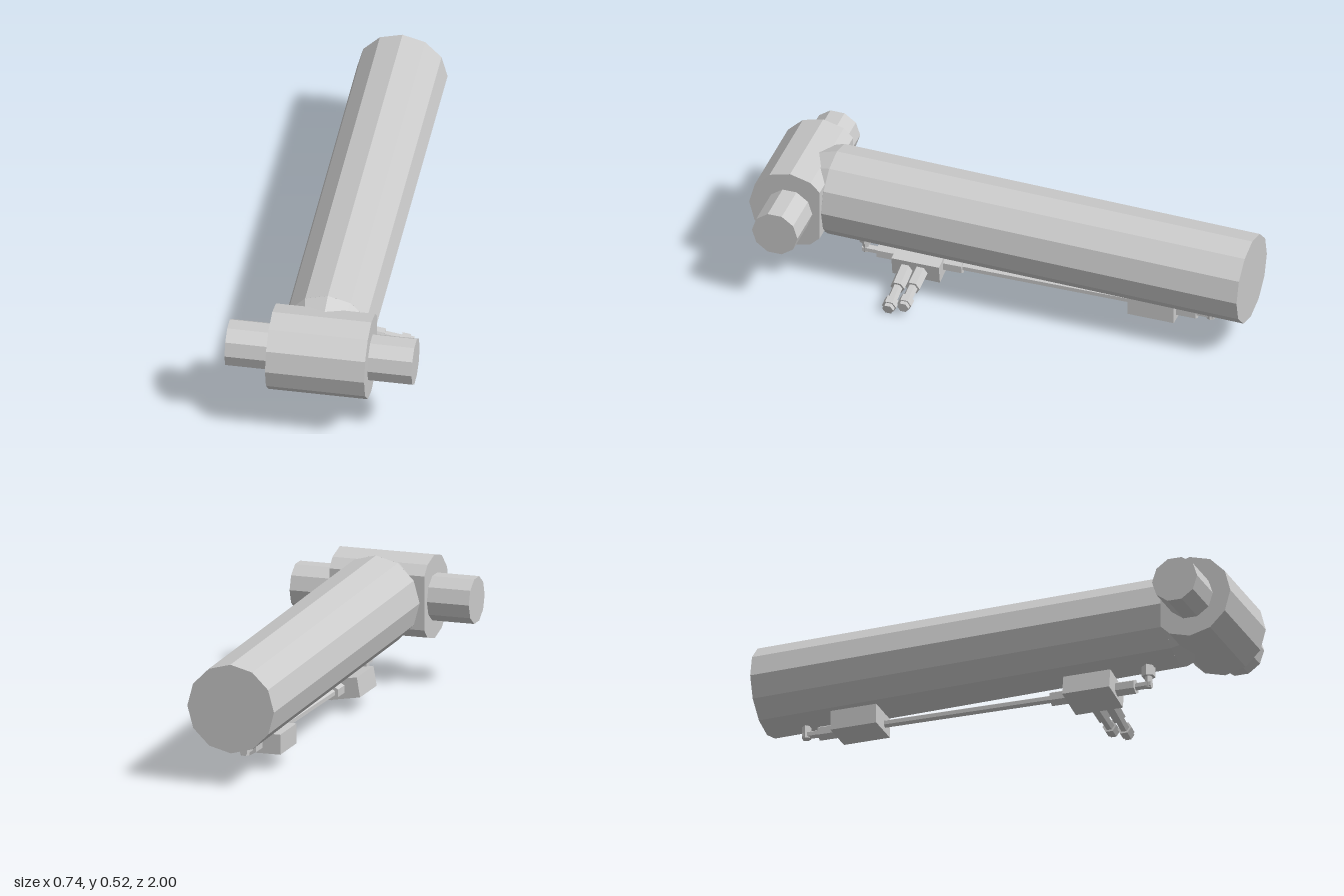
import * as THREE from 'three';

const material = new THREE.MeshStandardMaterial({ color: 0xcccccc, flatShading: true });

export function createModel() {
  const model = new THREE.Group();

  const add = (name, geometry) => {
    const mesh = new THREE.Mesh(geometry, material);
    mesh.name = name;
    model.add(mesh);
    return mesh;
  };

  // Prism or cone between two points; r0 at the start, r1 at the end
  const rod = (name, from, to, r0, sides = 6, r1 = r0, roll = 0) => {
    const a = new THREE.Vector3(...from), b = new THREE.Vector3(...to);
    const dir = b.clone().sub(a);
    const geometry = new THREE.CylinderGeometry(r1, r0, dir.length(), sides);
    geometry.rotateY(roll);
    const mesh = add(name, geometry);
    mesh.position.copy(a).add(b).multiplyScalar(0.5);
    mesh.quaternion.setFromUnitVectors(new THREE.Vector3(0, 1, 0), dir.normalize());
    return mesh;
  };

  // Main barrel, sloping down to the back, with a tapered nose in the hub
  rod('barrel', [0, 0.346, 0.71], [0, 0.318, -0.997], 0.178, 12);
  rod('barrelNose', [0, 0.346, 0.71], [0, 0.348, 0.84], 0.178, 12, 0.135);

  // Cross hub: a twelve-sided drum cut flat at the back
  const R = 0.168, cut = 0.122;
  const profile = [new THREE.Vector2(cut, -0.108)];
  for (let i = -2; i >= -10; i--) {
    const t = (i * Math.PI) / 6;
    profile.push(new THREE.Vector2(R * Math.cos(t), R * Math.sin(t)));
  }
  profile.push(new THREE.Vector2(cut, 0.108));
  const hub = add('hub', new THREE.ExtrudeGeometry(new THREE.Shape(profile), { depth: 0.39, bevelEnabled: false }));
  hub.geometry.rotateY(Math.PI / 2);
  hub.position.set(-0.197, 0.347, 0.832);

  // Trunnion pin through the hub
  rod('trunnionPin', [-0.369, 0.346, 0.834], [0.367, 0.346, 0.834], 0.0935, 10);

  // Hydraulic line under the barrel; its axis rises slightly to the back
  const at = z => [0, 0.101 - 0.011 * z, z];
  rod('line', at(0.6), at(-0.845), 0.016);
  for (const [z0, z1] of [[0.535, 0.45], [0.27, 0.187], [-0.69, -0.775]]) {
    rod('lineCollar', at(z0), at(z1), 0.03);
  }

  // Risers joining the line to the barrel
  rod('frontRiser', [0, 0.082, 0.587], [0, 0.175, 0.587], 0.0145, 6, 0.0145, Math.PI / 6);
  rod('frontRiserCollar', [0, 0.128, 0.587], [0, 0.19, 0.587], 0.027, 6, 0.027, Math.PI / 6);
  rod('rearRiser', [0, 0.095, -0.83], [0, 0.16, -0.83], 0.018, 6, 0.018, Math.PI / 6);

  // Valve blocks
  const frontBlock = add('frontValveBlock', new THREE.BoxGeometry(0.153, 0.08, 0.195));
  frontBlock.position.set(-0.008, 0.097, 0.36);
  frontBlock.rotation.z = -0.165;
  const rearBlock = add('rearValveBlock', new THREE.BoxGeometry(0.15, 0.08, 0.19));
  rearBlock.position.set(-0.023, 0.111, -0.6);

  // Two side ports, each with body, neck, nut and tip
  for (const [z, y0, slope] of [[0.402, 0.08, -0.25], [0.34, 0.083, -0.155]]) {
    const p = x => [x, y0 + slope * (x - 0.06), z];
    rod('portBody', p(0.05), p(0.16), 0.029);
    rod('portNeck', p(0.15), p(0.23), 0.02);
    rod('portNut', p(0.225), p(0.258), 0.029);
    rod('portTip', p(0.25), p(0.274), 0.023);
  }

  return model;
}
